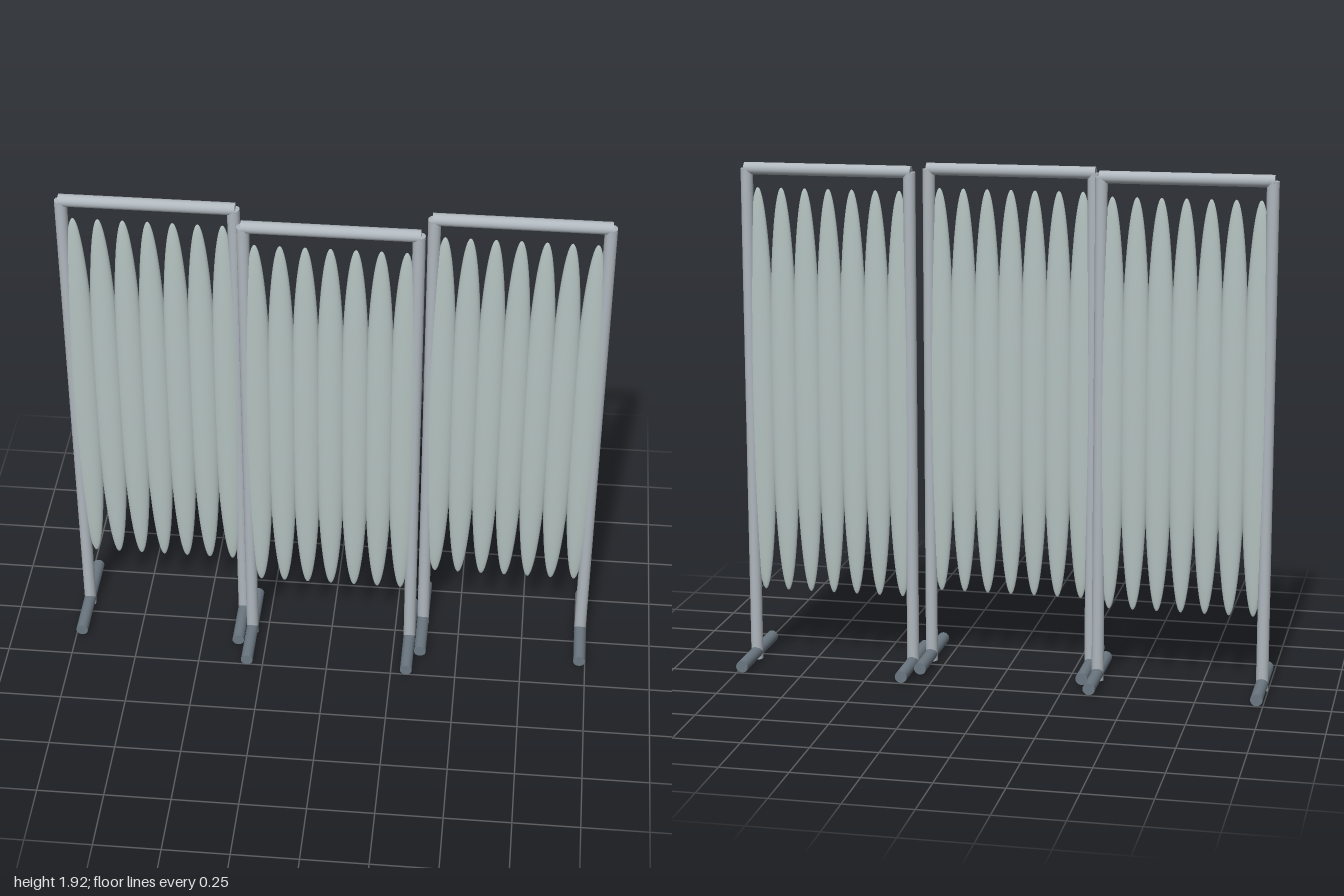
import * as THREE from 'three';

const R = 0.023;          // tube radius
const HALF = 0.31;        // half distance between the posts of one panel
const TOP = 1.9;          // height of the top rail's axis
const SLATS = 7;
const PITCH = 0.09;

const frameMat = new THREE.MeshStandardMaterial({ color: 0xb0b8be });
const footMat = new THREE.MeshStandardMaterial({ color: 0x6c7882 });
const slatMat = new THREE.MeshStandardMaterial({ color: 0xb4c2c0 });

// Round bar centred on the origin, along the given axis
function bar(name, length, axis, material) {
  const geo = new THREE.CylinderGeometry(R, R, length, 20);
  if (axis === 'x') geo.rotateZ(Math.PI / 2);
  if (axis === 'z') geo.rotateX(Math.PI / 2);
  const mesh = new THREE.Mesh(geo, material);
  mesh.name = name;
  return mesh;
}

function createPanel(name) {
  const panel = new THREE.Group();
  panel.name = name;

  // Posts, each standing on a foot bar
  for (const [side, s] of [['left', 1], ['right', -1]]) {
    const post = bar(side + 'Post', TOP, 'y', frameMat);
    post.position.set(s * HALF, TOP / 2, 0);
    const foot = bar(side + 'Foot', 0.4, 'z', footMat);
    foot.position.set(s * HALF, 0.027, 0);
    panel.add(post, foot);
  }

  // Top rail
  const rail = bar('topRail', 0.634, 'x', frameMat);
  rail.position.y = TOP;
  panel.add(rail);

  // Overlapping long, flattened slats
  const slatGeo = new THREE.SphereGeometry(1, 24, 32).scale(0.055, 0.775, 0.027);
  const slats = new THREE.Group();
  slats.name = 'slats';
  for (let i = 0; i < SLATS; i++) {
    const slat = new THREE.Mesh(slatGeo, slatMat);
    slat.name = 'slat' + (i + 1);
    slat.position.set((i - (SLATS - 1) / 2) * PITCH, 1.055, 0.004);
    slats.add(slat);
  }
  panel.add(slats);
  return panel;
}

export function createModel() {
  const model = new THREE.Group();
  model.name = 'foldingScreen';
  // Three panels, the middle one set forward
  const layout = [['rightPanel', -0.667, -0.056], ['middlePanel', 0, 0.056], ['leftPanel', 0.667, -0.056]];
  for (const [name, x, z] of layout) {
    const panel = createPanel(name);
    panel.position.set(x, 0, z);
    model.add(panel);
  }
  return model;
}
